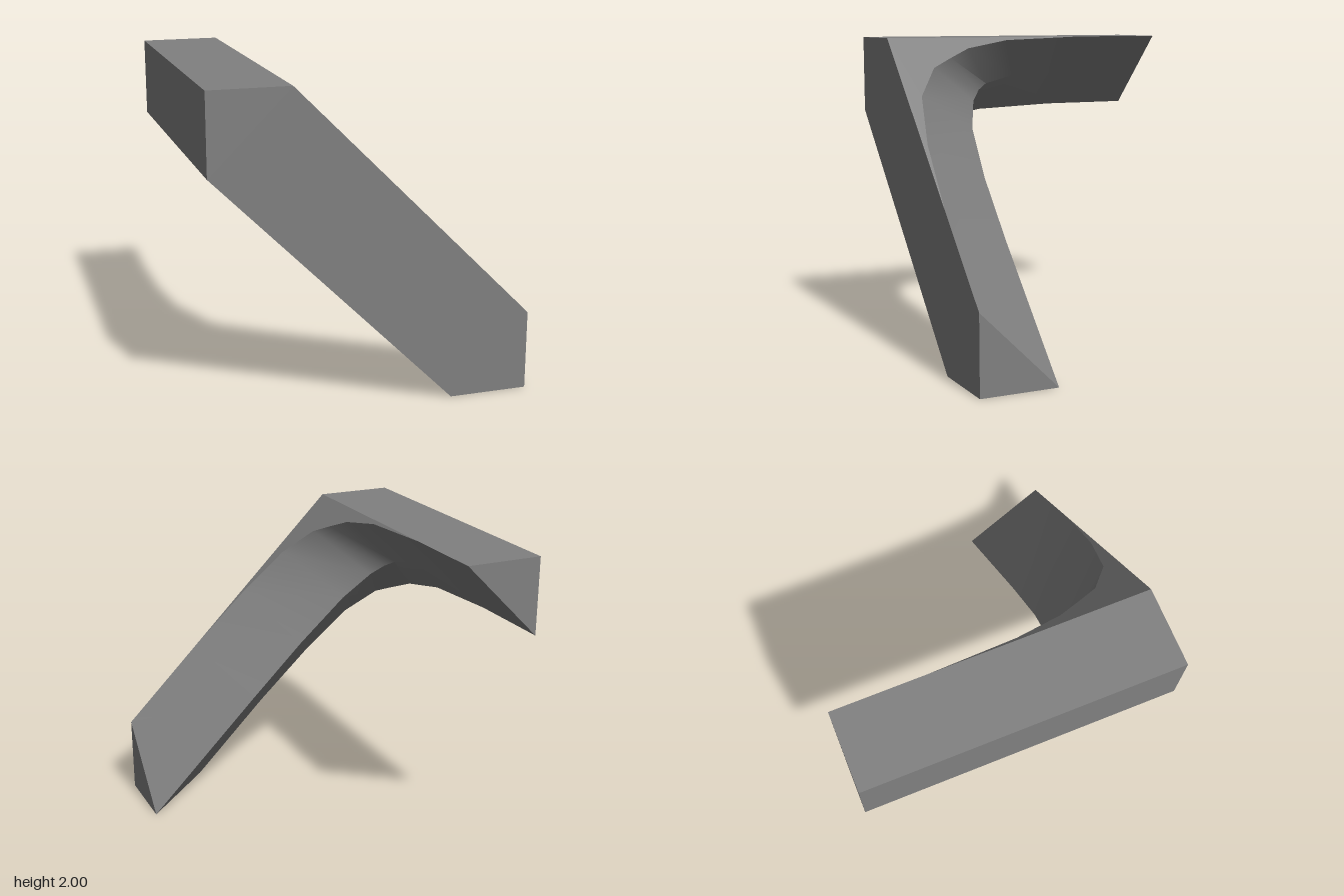
import * as THREE from 'three';
import { toCreasedNormals } from 'three/addons/utils/BufferGeometryUtils.js';

const gray = new THREE.MeshStandardMaterial({ color: 0x808080 });
gray.name = 'gray';

// Mesh from a list of triangles, each three [x, y, z] corners
function trianglesMesh(name, triangles, crease = 0) {
  let geometry = new THREE.BufferGeometry();
  geometry.setAttribute('position', new THREE.Float32BufferAttribute(triangles.flat(2), 3));
  geometry.computeVertexNormals();
  if (crease) geometry = toCreasedNormals(geometry, crease);
  const mesh = new THREE.Mesh(geometry, gray);
  mesh.name = name;
  return mesh;
}

// Flat face fanned out from its first corner
function face(name, points) {
  const triangles = [];
  for (let i = 1; i < points.length - 1; i++) triangles.push([points[0], points[i], points[i + 1]]);
  return trianglesMesh(name, triangles);
}

export function createModel() {
  const group = new THREE.Group();
  group.name = 'bentBeam';

  // Bending edges as [z, y]; each lies in a plane x + y = constant
  const outerBend = [[-1, 2], [-0.4, 2], [0.16, 1.98], [0.46, 1.93], [0.61, 1.87],
    [0.75, 1.81], [0.9, 1.64], [0.97, 1.36], [1, 1], [1, 0.5]];
  const ridgeBend = [[-1, 1.75], [-0.35, 1.75], [0, 1.73], [0.23, 1.68], [0.3, 1.64],
    [0.37, 1.57], [0.45, 1.4], [0.49, 1.1], [0.5, 0.75], [0.5, 0]];
  const upper = outerBend.map(([z, y]) => [1.5 - y, y, z]);
  const ridge = ridgeBend.map(([z, y]) => [1 - y, y, z]);
  const lower = upper.map(([x, y, z]) => [x - 0.5, y - 0.5, z]);

  // Inner surface: two strips meeting at the ridge
  const strips = [];
  for (const [a, b] of [[upper, ridge], [ridge, lower]]) {
    for (let i = 0; i < a.length - 1; i++) {
      strips.push([a[i], a[i + 1], b[i]], [a[i + 1], b[i + 1], b[i]]);
    }
  }
  group.add(trianglesMesh('innerSurface', strips, 0.6));

  // Flat webs filling the bend
  group.add(face('upperWeb', [[-0.5, 2, 1], ...upper.slice().reverse()]));
  group.add(face('lowerWeb', [[-1, 1.5, 1], ...lower]));

  // Flat outer faces
  group.add(face('topFace', [[-1, 2, 1], [-0.5, 2, 1], [-0.5, 2, -1], [-1, 2, -1]]));
  group.add(face('sideFace', [[-1, 1.5, -1], [-1, 1.5, 1], [-1, 2, 1], [-1, 2, -1]]));
  group.add(face('frontFace', [[-1, 1.5, 1], [0.5, 0, 1], [1, 0, 1], [1, 0.5, 1], [-0.5, 2, 1], [-1, 2, 1]]));

  // End faces
  group.add(face('backEnd', [[-1, 1.5, -1], [-1, 2, -1], [-0.5, 2, -1]]));
  group.add(face('sideEnd', [[1, 0, 1], [1, 0, 0.5], [1, 0.5, 1]]));
  group.add(face('bottomEnd', [[0.5, 0, 1], [1, 0, 0.5], [1, 0, 1]]));

  return group;
}
